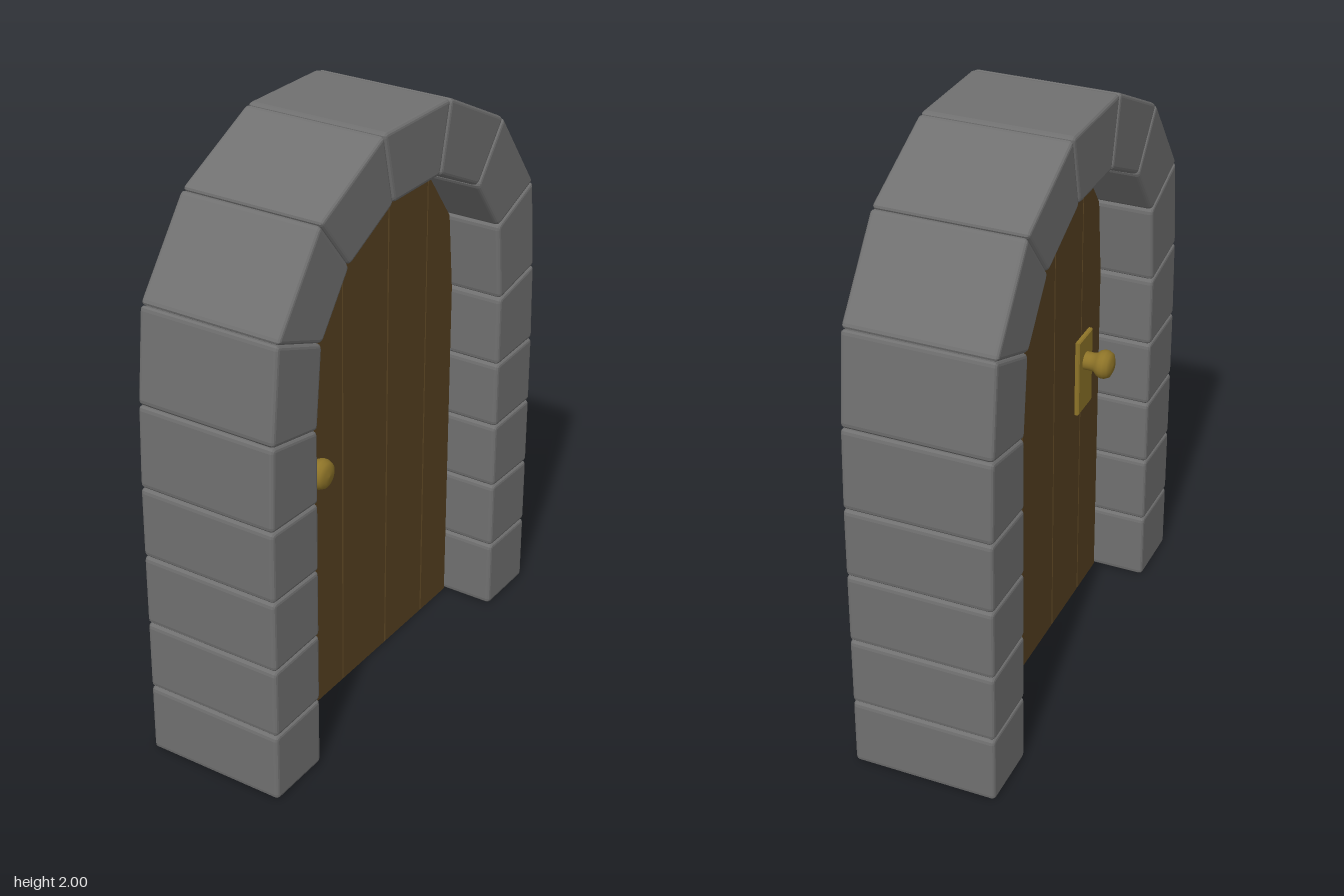
import * as THREE from 'three';

const stoneMat = new THREE.MeshStandardMaterial({ color: 0x707070 });
const woodMat = new THREE.MeshStandardMaterial({ color: 0x554020 });
const brassMat = new THREE.MeshStandardMaterial({ color: 0x8e7428 });

// Closed outline from [u, y] corners, each corner rounded by r
function outline(corners, r) {
  const shape = new THREE.Shape();
  const pts = corners.map(([u, y]) => new THREE.Vector2(u, y));
  pts.forEach((p, i) => {
    const prev = pts[(i + pts.length - 1) % pts.length];
    const next = pts[(i + 1) % pts.length];
    const a = prev.clone().sub(p).setLength(r).add(p);
    const b = next.clone().sub(p).setLength(r).add(p);
    if (i === 0) shape.moveTo(a.x, a.y);
    else shape.lineTo(a.x, a.y);
    if (r > 0) shape.quadraticCurveTo(p.x, p.y, b.x, b.y);
  });
  shape.closePath();
  return shape;
}

// Bevelled slab: outline in the z-y plane, thickness centred along x
function slab(name, corners, thickness, bevel, round, segments, material) {
  const geo = new THREE.ExtrudeGeometry(outline(corners, round), {
    depth: thickness - 2 * bevel, curveSegments: 3,
    bevelThickness: bevel, bevelSize: bevel, bevelOffset: -bevel, bevelSegments: segments,
  });
  geo.translate(0, 0, -(thickness - 2 * bevel) / 2);
  geo.rotateY(Math.PI / 2);
  const mesh = new THREE.Mesh(geo, material);
  mesh.name = name;
  return mesh;
}

const mirrored = (corners) => corners.map(([u, y]) => [-u, y]);

// Plate and knob, built facing +x from the door surface
function createHandle() {
  const handle = new THREE.Group();
  const plate = slab('handlePlate', [[-0.06, 0.76], [0.06, 0.76], [0.06, 1.038], [-0.06, 1.038]],
    0.03, 0.004, 0, 1, brassMat);
  const profile = [[0.032, 0], [0.031, 0.035], [0.034, 0.05], [0.044, 0.06], [0.049, 0.072],
    [0.049, 0.085], [0.042, 0.1], [0.026, 0.108], [0, 0.111]];
  const geo = new THREE.LatheGeometry(profile.map(([x, y]) => new THREE.Vector2(x, y)), 24);
  geo.rotateZ(-Math.PI / 2);
  const knob = new THREE.Mesh(geo, brassMat);
  knob.name = 'doorKnob';
  knob.position.set(0.003, 0.945, 0);
  handle.add(plate, knob);
  return handle;
}

export function createModel() {
  const model = new THREE.Group();
  model.name = 'archedDoor';

  // Stone joints from floor to keystone: inner corner, outer corner
  const joints = [
    [[0.53, 0], [0.767, 0]],
    [[0.53, 0.243], [0.767, 0.24]],
    [[0.53, 0.485], [0.767, 0.48]],
    [[0.53, 0.72], [0.767, 0.725]],
    [[0.53, 0.955], [0.766, 0.966]],
    [[0.53, 1.2], [0.756, 1.243]],
    [[0.503, 1.47], [0.724, 1.555]],
    [[0.362, 1.658], [0.51, 1.84]],
    [[0.13, 1.77], [0.184, 2]],
  ];
  const arch = new THREE.Group();
  arch.name = 'stoneArch';
  const stone = (name, corners) => arch.add(slab(name, corners, 0.485, 0.013, 0.018, 3, stoneMat));
  for (let i = 0; i < joints.length - 1; i++) {
    const [a, b] = [joints[i], joints[i + 1]];
    const corners = [a[0], a[1], b[1], b[0]];
    stone('backStone' + i, corners);
    stone('frontStone' + i, mirrored(corners));
  }
  const [inner, outer] = joints[joints.length - 1];
  stone('keystone', [inner, outer, ...mirrored([outer, inner])]);
  model.add(arch);

  // Five planks whose tops follow the inside of the arch
  const door = new THREE.Group();
  door.name = 'door';
  const plank = (name, corners) => door.add(slab(name, corners, 0.12, 0.004, 0, 1, woodMat));
  const middle = [[0.13, 0], [0.362, 0], [0.362, 1.658], [0.13, 1.77]];
  const edge = [[0.362, 0], [0.53, 0], [0.53, 1.2], [0.503, 1.47], [0.362, 1.658]];
  plank('centrePlank', [[-0.13, 0], [0.13, 0], [0.13, 1.77], [-0.13, 1.77]]);
  plank('backMiddlePlank', middle);
  plank('frontMiddlePlank', mirrored(middle));
  plank('backEdgePlank', edge);
  plank('frontEdgePlank', mirrored(edge));
  model.add(door);

  // A handle on each face of the door
  for (const side of [1, -1]) {
    const handle = createHandle();
    handle.name = side > 0 ? 'leftHandle' : 'rightHandle';
    handle.position.set(side * 0.06, 0, 0.37);
    if (side < 0) handle.rotation.y = Math.PI;
    model.add(handle);
  }
  return model;
}
